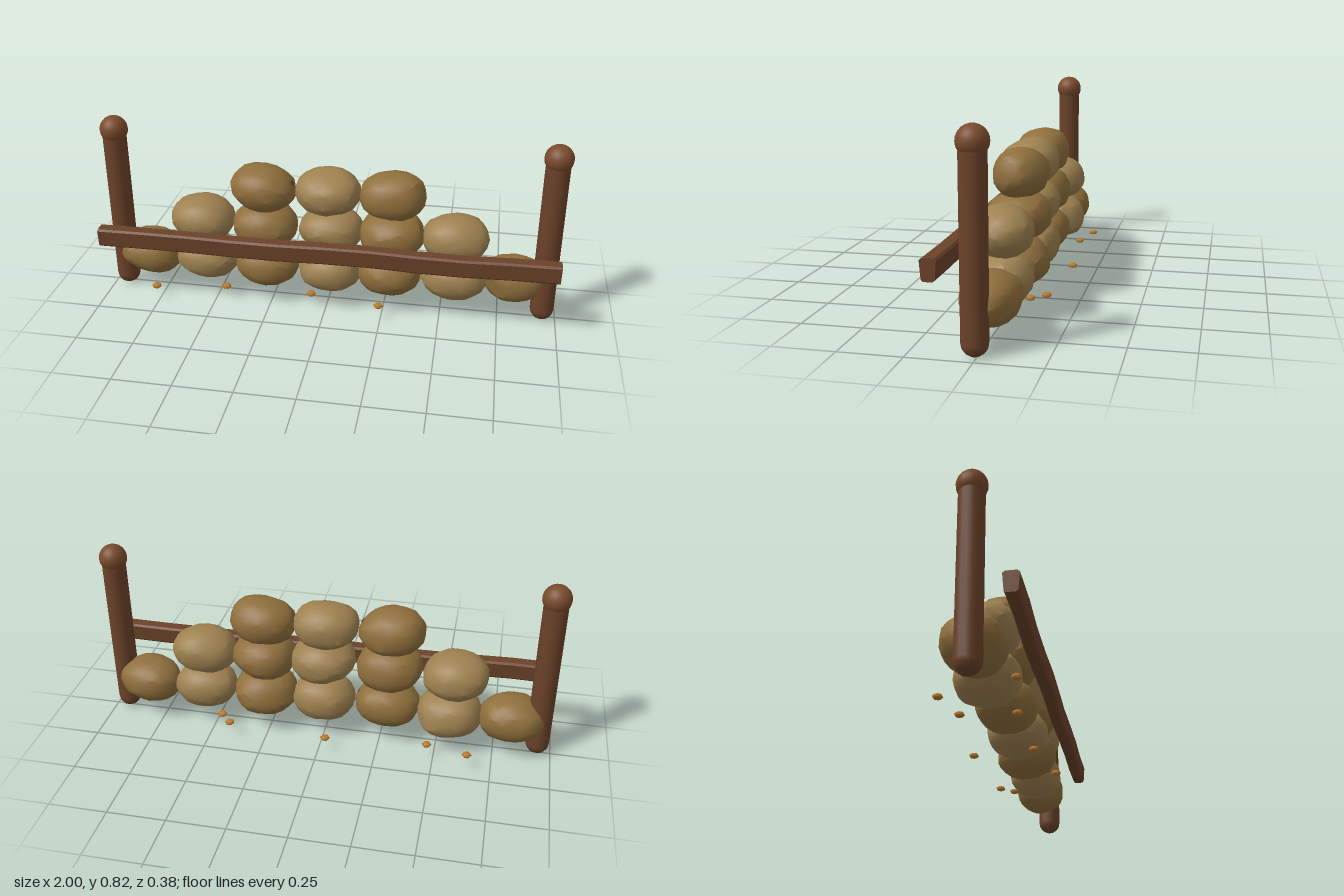
import * as THREE from 'three';
import { mergeVertices, toCreasedNormals } from 'three/addons/utils/BufferGeometryUtils.js';

const mat = (color) => new THREE.MeshStandardMaterial({ color });
const wood = mat(0x6b4229);
const knobWood = mat(0x7a4a2c);
const darkCloth = mat(0x8f6f3c);
const lightCloth = mat(0x9e8150);
const tieMat = mat(0x5e3d22);
const grainMat = mat(0xb87a2c);

// small seeded generator
function seeded(seed) {
  let s = seed * 7919 + 17;
  return () => ((s = (s * 16807) % 2147483647) / 2147483647);
}

function add(parent, name, geometry, material, x = 0, y = 0, z = 0) {
  const mesh = new THREE.Mesh(geometry, material);
  mesh.name = name;
  mesh.position.set(x, y, z);
  parent.add(mesh);
  return mesh;
}

// lumpy squashed ball with soft dents and creased folds
function sackGeometry(seed, rx, ry, rz) {
  const rnd = seeded(seed);
  for (let i = 0; i < 5; i++) rnd();
  const ico = new THREE.IcosahedronGeometry(1, 3);
  ico.deleteAttribute('normal');
  ico.deleteAttribute('uv');
  const geo = mergeVertices(ico, 1e-3);
  const p = geo.attributes.position;
  const v = new THREE.Vector3();
  const lumps = Array.from({ length: 9 }, () => ({
    dir: new THREE.Vector3(rnd() - 0.5, rnd() - 0.5, rnd() - 0.5).normalize(),
    depth: (rnd() - 0.6) * 0.16,
  }));
  for (let i = 0; i < p.count; i++) {
    v.fromBufferAttribute(p, i);
    let r = 1;
    for (const { dir, depth } of lumps) r += depth * Math.max(0, v.dot(dir)) ** 8;
    r += (rnd() - 0.5) * 0.045;
    // slightly boxy, as if stuffed full
    const e = (c) => Math.sign(c) * Math.abs(c) ** 0.92;
    p.setXYZ(i, e(v.x) * r * rx, e(v.y) * r * ry, e(v.z) * r * rz);
  }
  return toCreasedNormals(geo, 0.5);
}

export function createModel() {
  const model = new THREE.Group();
  model.name = 'sackBarricade';

  // rounded posts with ball caps
  for (const side of [-1, 1]) {
    const post = new THREE.Group();
    post.name = side > 0 ? 'leftPost' : 'rightPost';
    post.position.set(side * 0.94, 0, 0.009);
    add(post, 'postShaft', new THREE.CapsuleGeometry(0.051, 0.67, 4, 16), wood, 0, 0.389, 0);
    add(post, 'postKnob', new THREE.SphereGeometry(0.06, 20, 14), knobWood, 0, 0.76, 0);
    model.add(post);
  }

  // rough-hewn rail: chamfered section, wandering a little along its length
  const w = 0.028, h = 0.042, c = 0.008;
  const section = new THREE.Shape([
    [-w + c, -h], [w - c, -h], [w, -h + c], [w, h - c],
    [w - c, h], [-w + c, h], [-w, h - c], [-w, -h + c],
  ].map(([x, y]) => new THREE.Vector2(x, y)));
  const rail = new THREE.ExtrudeGeometry(section, { depth: 1.98, steps: 10, bevelEnabled: false });
  rail.translate(0, 0, -0.99);
  const rp = rail.attributes.position;
  for (let i = 0; i < rp.count; i++) {
    const t = rp.getZ(i);
    const taper = 1 + 0.12 * rp.getY(i) / h;
    rp.setX(i, rp.getX(i) * taper + 0.003 * Math.sin(t * 9));
    rp.setY(i, rp.getY(i) + 0.003 * Math.sin(t * 7 + 1));
  }
  rail.rotateY(Math.PI / 2);
  add(model, 'frontRail', toCreasedNormals(rail, 0.4), wood, 0, 0.315, 0.16);

  // stacked sacks: [x, z, half depth], cloth tone alternates by column
  const rows = [
    { y: 0.175, odd: 0, sacks: [[-0.82, 0, 0.115], [-0.555, -0.005, 0.125], [-0.275, 0.015, 0.12],
      [0.01, 0.01, 0.125], [0.27, 0, 0.132], [0.555, 0, 0.115], [0.81, -0.015, 0.108]] },
    { y: 0.36, odd: 1, sacks: [[-0.565, -0.005, 0.125], [-0.28, 0.015, 0.12], [0.01, 0.01, 0.125],
      [0.275, 0, 0.13], [0.55, 0, 0.115]] },
    { y: 0.535, odd: 0, sacks: [[-0.285, 0.015, 0.118], [0, 0.01, 0.12], [0.275, -0.005, 0.112]] },
  ];
  let seed = 1;
  rows.forEach(({ y, odd, sacks }, r) => {
    sacks.forEach(([x, z, depth], i) => {
      const dark = (i + odd) % 2 === 0;
      const sack = new THREE.Group();
      sack.name = `sackRow${r + 1}Number${i + 1}`;
      sack.position.set(x, y, z);
      add(sack, 'sackBody', sackGeometry(seed++, 0.142, 0.102, depth * 1.02), dark ? darkCloth : lightCloth);
      // gathered tie at one end
      if (dark) {
        const tie = add(sack, 'sackTie', new THREE.SphereGeometry(0.022, 8, 6), tieMat, 0.118, 0.022, 0);
        tie.scale.set(0.75, 1, 1.3);
      }
      model.add(sack);
    });
  });

  // spilled grains along both sides
  const grains = [[-0.76, 0.14], [-0.45, 0.09], [-0.065, 0.09], [0.24, 0.14],
    [-0.645, -0.17], [-0.47, -0.13], [-0.03, -0.17], [0.41, -0.14], [0.46, -0.085]];
  const grainGeo = new THREE.SphereGeometry(0.022, 6, 4).scale(1, 0.5, 1);
  for (const [x, z] of grains) add(model, 'grain', grainGeo, grainMat, x, 0.07, z);

  return model;
}
